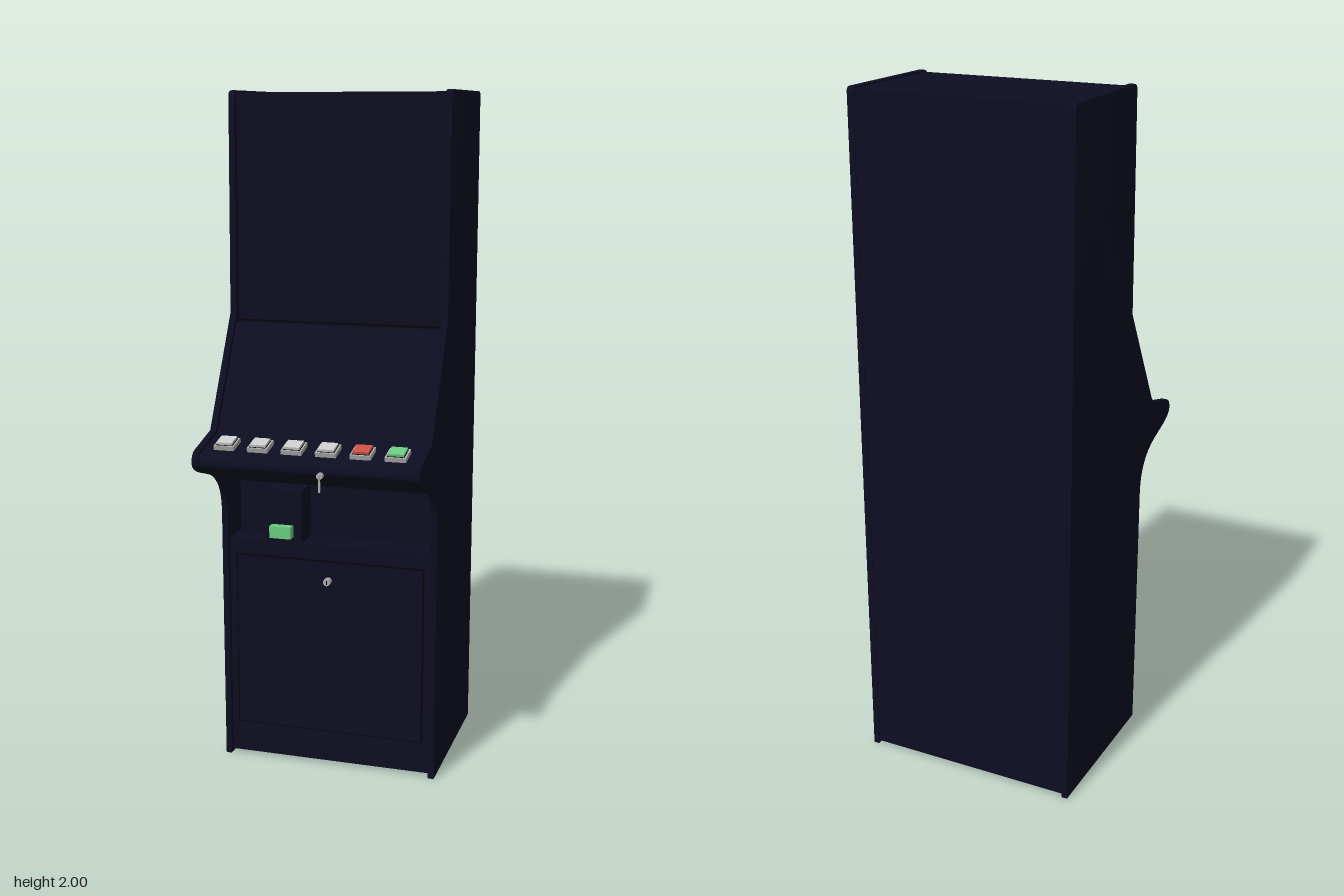
import * as THREE from 'three';
import { toCreasedNormals } from 'three/addons/utils/BufferGeometryUtils.js';

export function createModel() {
  const model = new THREE.Group();
  const mat = (name, color) => {
    const m = new THREE.MeshStandardMaterial({ color });
    m.name = name;
    return m;
  };
  const navy = mat('navy laminate', 0x0d0d22);
  const grey = mat('button frame grey', 0xaaaaaa);
  const white = mat('button white', 0xcccccc);
  const red = mat('button red', 0xcc5044);
  const green = mat('button green', 0x68cc7e);
  const dark = mat('dark gap', 0x05050a);

  const add = (name, geo, material, x = 0, y = 0, z = 0, parent = model) => {
    const m = new THREE.Mesh(geo, material);
    m.name = name;
    m.position.set(x, y, z);
    parent.add(m);
    return m;
  };
  const box = (name, w, h, d, material, x, y, z, parent) =>
    add(name, new THREE.BoxGeometry(w, h, d), material, x, y, z, parent);

  // Extrudes a (z, y) profile across x, centred on x = 0
  const extrudeX = (shape, width, bevel = 0) => {
    const depth = width - 2 * bevel;
    const g = new THREE.ExtrudeGeometry(shape, {
      depth, curveSegments: 10, bevelEnabled: bevel > 0,
      bevelSize: bevel, bevelThickness: bevel, bevelOffset: -bevel, bevelSegments: 2,
    });
    g.translate(0, 0, -depth / 2);
    g.rotateY(-Math.PI / 2);
    return toCreasedNormals(g, 0.6);
  };

  // Side panels with the full cabinet outline
  const side = new THREE.Shape();
  side.moveTo(-0.37, 0);
  side.lineTo(0.128, 0);
  side.lineTo(0.131, 0.78);
  side.bezierCurveTo(0.135, 0.86, 0.18, 0.895, 0.24, 0.915);
  side.bezierCurveTo(0.3, 0.935, 0.357, 0.945, 0.357, 0.975);
  side.bezierCurveTo(0.357, 1.0, 0.34, 1.008, 0.315, 1.013);
  side.lineTo(0.212, 1.04);
  side.lineTo(0.033, 1.36);
  side.lineTo(0.022, 1.98);
  side.quadraticCurveTo(0.022, 2, 0.002, 2);
  side.lineTo(-0.355, 2);
  side.quadraticCurveTo(-0.37, 2, -0.37, 1.985);
  side.closePath();
  const panelGeo = extrudeX(side, 0.02, 0.003);
  for (const s of [-1, 1]) add(s > 0 ? 'leftSidePanel' : 'rightSidePanel', panelGeo, navy, s * 0.32);

  // Body between the panels: lower front, coin recess, control deck, screen slope, top
  const body = new THREE.Shape();
  body.moveTo(-0.367, 0.01);
  body.lineTo(0.115, 0.01);
  body.lineTo(0.115, 0.69);
  body.lineTo(0.02, 0.69);
  body.lineTo(0.02, 0.885);
  body.lineTo(0.165, 0.885);
  body.bezierCurveTo(0.25, 0.925, 0.352, 0.945, 0.353, 0.972);
  body.bezierCurveTo(0.353, 0.994, 0.335, 1.0, 0.315, 1.004);
  body.lineTo(0.2, 1.032);
  body.lineTo(0.035, 1.33);
  body.lineTo(0.01, 1.33);
  body.lineTo(0.008, 1.994);
  body.lineTo(-0.367, 1.994);
  body.closePath();
  add('cabinetBody', extrudeX(body, 0.622), navy);

  // Seam beneath the upper front panel
  box('upperPanelSeam', 0.62, 0.006, 0.003, dark, 0, 1.336, 0.0105);

  // Lower door on a thin dark gap, with a round lock
  box('doorGap', 0.58, 0.54, 0.003, dark, 0, 0.375, 0.1155);
  box('door', 0.57, 0.53, 0.006, navy, 0, 0.375, 0.118);
  const lock = new THREE.CylinderGeometry(0.011, 0.011, 0.02, 16).rotateX(Math.PI / 2);
  add('doorLock', lock, grey, 0, 0.585, 0.13);
  box('doorLockSlot', 0.003, 0.012, 0.002, dark, 0, 0.585, 0.1405);

  // Coin box standing in the recess
  box('coinBox', 0.115, 0.16, 0.1, navy, -0.142, 0.77, 0.068);
  box('coinReturn', 0.066, 0.036, 0.034, green, -0.142, 0.727, 0.128);

  // Row of square buttons on the sloped deck
  const deck = new THREE.Group();
  deck.name = 'buttonRow';
  deck.position.set(0, 1.0125, 0.28);
  deck.rotation.x = 0.239;
  model.add(deck);
  [white, white, white, white, red, green].forEach((color, i) => {
    const x = -0.25 + i * 0.1;
    box('buttonFrame', 0.06, 0.014, 0.06, grey, x, 0.006, 0, deck);
    box('buttonGap', 0.05, 0.003, 0.05, dark, x, 0.0125, 0, deck);
    box('buttonCap', 0.046, 0.014, 0.046, color, x, 0.014, 0, deck);
  });

  // Key lock on the nose of the deck, with a hanging key
  add('keyBarrel', new THREE.CylinderGeometry(0.009, 0.009, 0.024, 16).rotateX(Math.PI / 2),
    grey, 0.05, 0.965, 0.355);
  box('keyHead', 0.004, 0.018, 0.008, grey, 0.05, 0.957, 0.367);
  box('keyTag', 0.006, 0.03, 0.004, grey, 0.05, 0.935, 0.367);

  return model;
}
